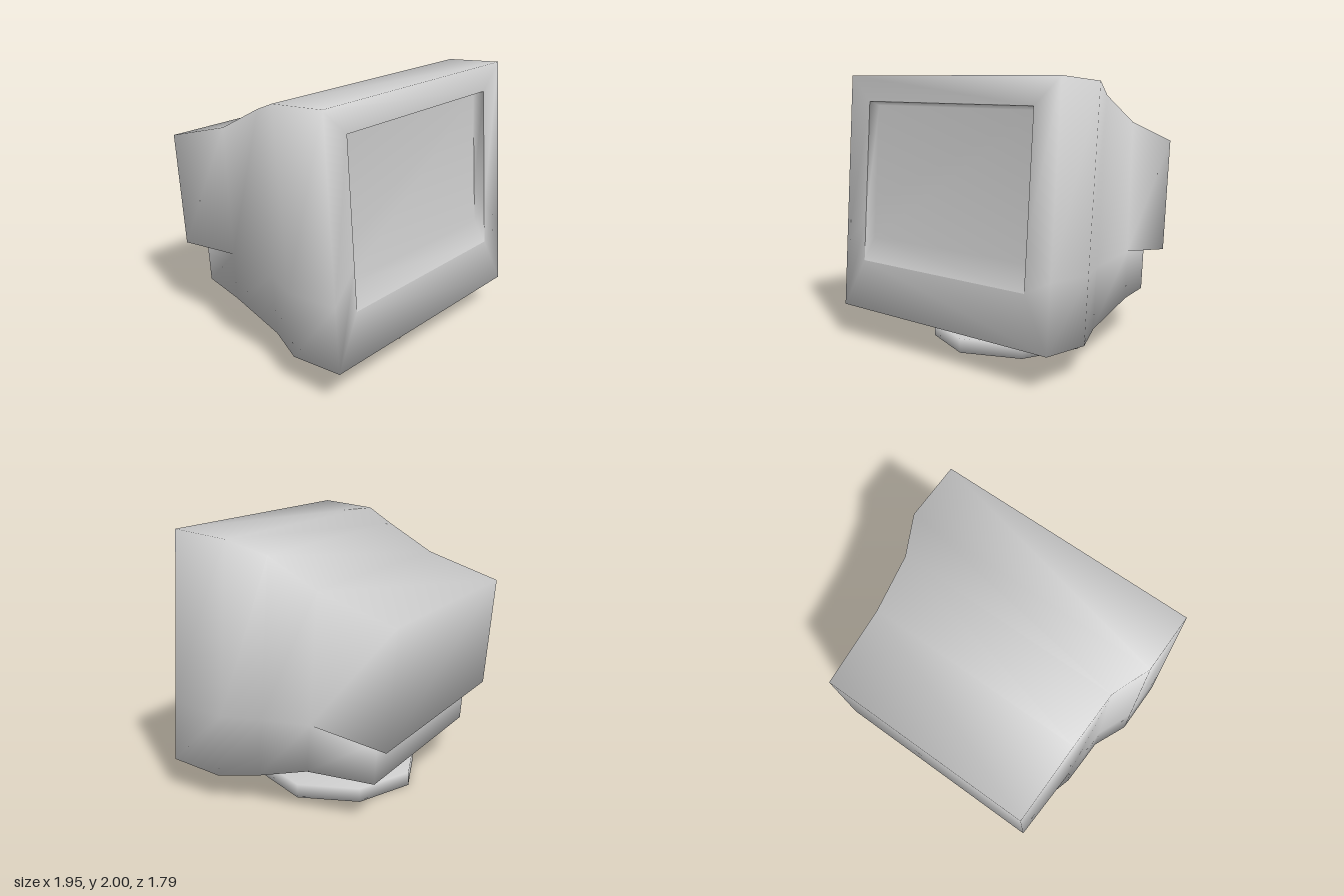
import * as THREE from 'three';
import { mergeVertices } from 'three/addons/utils/BufferGeometryUtils.js';

const material = new THREE.MeshStandardMaterial({ color: 0xcccccc });

// Ring level: half width, height, depth
const mix = (a, b, f) => a.map((v, i) => v + (b[i] - v) * f);

// Closed ring, counter-clockwise from the front, mirrored across x
function ring(levels) {
  const right = levels.map(([w, y, z]) => [w, y, z]);
  const left = levels.map(([w, y, z]) => [-w, y, z]);
  return [right[0], ...left, ...right.slice(1).reverse()];
}

// Skin consecutive rings, running from front to back
function loft(out, rings) {
  for (let r = 0; r + 1 < rings.length; r++) {
    const a = rings[r], b = rings[r + 1], n = a.length;
    for (let i = 0; i < n; i++) {
      const j = (i + 1) % n;
      out.push(...a[i], ...b[i], ...b[j], ...a[i], ...b[j], ...a[j]);
    }
  }
}

function cap(out, points, facesBack) {
  const p = facesBack ? [...points].reverse() : points;
  for (let i = 1; i + 1 < p.length; i++) out.push(...p[0], ...p[i], ...p[i + 1]);
}

function smooth(geometry) {
  geometry.deleteAttribute('normal');
  geometry.deleteAttribute('uv');
  const merged = mergeVertices(geometry, 1e-4);
  merged.computeVertexNormals();
  return merged;
}

function fromTriangles(positions) {
  const g = new THREE.BufferGeometry();
  g.setAttribute('position', new THREE.Float32BufferAttribute(positions, 3));
  return smooth(g);
}

export function createModel() {
  const model = new THREE.Group();
  model.name = 'monitor';
  const add = (name, geometry) => {
    const mesh = new THREE.Mesh(geometry, material);
    mesh.name = name;
    model.add(mesh);
    return mesh;
  };
  const section = (top, bottom) => ring([top, mix(top, bottom, 0.73), bottom]);

  // Housing: bezel, flared front and tapering middle
  const neckTop = [0.84, 1.665, -0.31], neckBottom = [0.86, 0.375, -0.22];
  const neckMid = mix(neckTop, neckBottom, 0.73);
  const opening = section([0.77, 1.81, 0.775], [0.77, 0.62, 0.87]);
  const housing = [];
  loft(housing, [
    opening,
    section([0.975, 2.0, 0.76], [0.975, 0.25, 0.9]),
    section([0.975, 1.965, 0.33], [0.975, 0.215, 0.48]),
    section([0.86, 1.865, 0.07], [0.86, 0.24, 0.2]),
    section(neckTop, neckBottom),
  ]);

  // Rear of the housing: long upper box and shorter, narrower lower box
  const rears = [
    [neckTop, neckMid, [0.83, 1.495, -0.895], [0.83, 0.64, -0.825]],
    [neckMid, neckBottom, [0.725, 0.657, -0.705], [0.725, 0.335, -0.68]],
  ];
  for (const [frontTop, frontBottom, backTop, backBottom] of rears) {
    const back = ring([backTop, backBottom]);
    loft(housing, [ring([frontTop, frontBottom]), back]);
    cap(housing, back, true);
  }
  add('housing', fromTriangles(housing));

  // Sunken screen with sloping surround
  const screen = [];
  const glass = section([0.75, 1.78, 0.7], [0.75, 0.79, 0.78]);
  loft(screen, [glass, opening]);
  cap(screen, glass, false);
  add('screen', fromTriangles(screen));

  // Eight-sided stem and foot
  const stem = add('stem', smooth(new THREE.CylinderGeometry(0.22, 0.22, 0.4, 8, 1, true)));
  stem.position.set(0, 0.28, 0.035);
  const foot = add('foot', smooth(new THREE.CylinderGeometry(0.615, 0.615, 0.105, 8)));
  foot.position.set(0, 0.0525, 0.035);

  return model;
}
